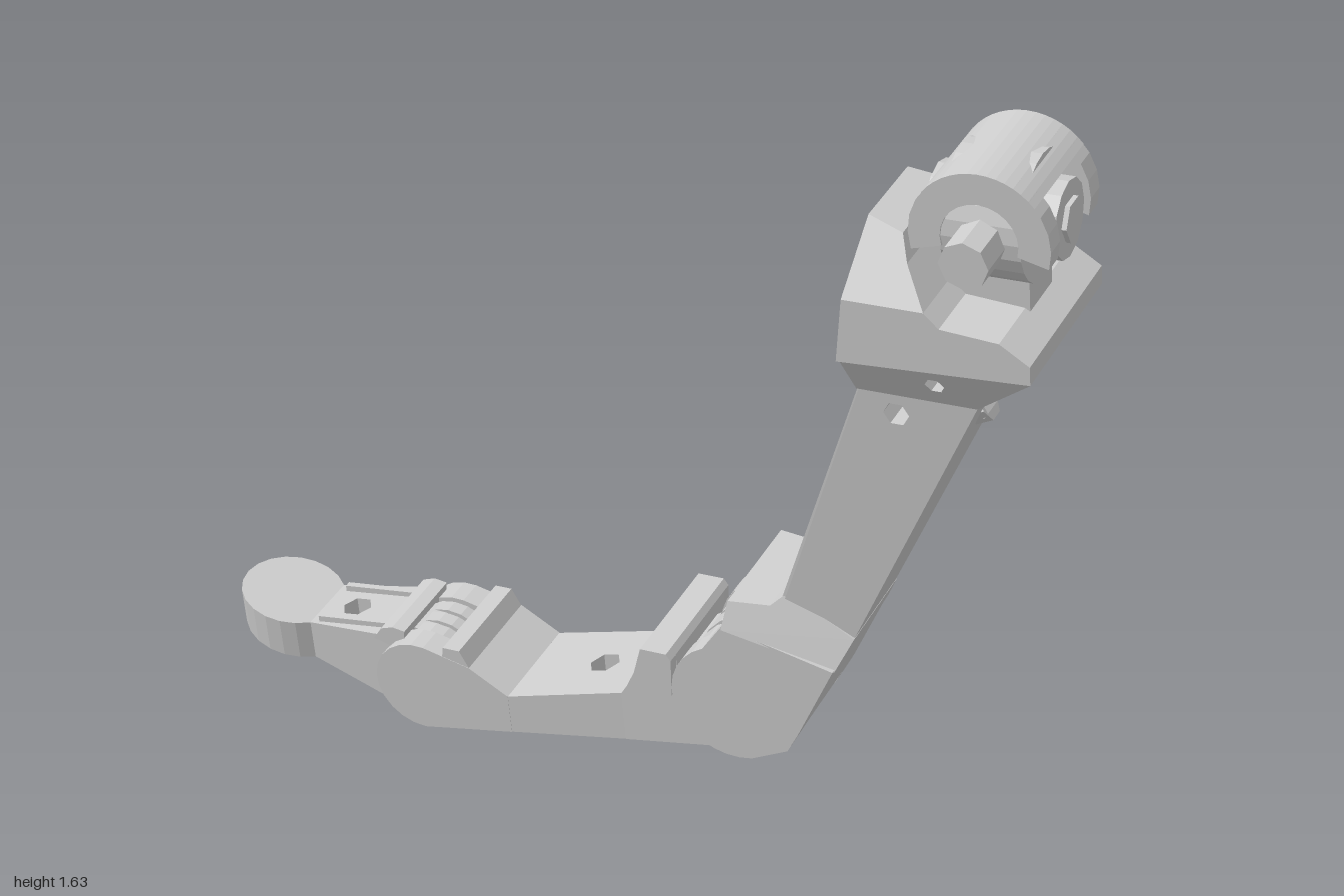
import * as THREE from 'three';

const material = new THREE.MeshStandardMaterial({ color: 0xcccccc, flatShading: true, side: THREE.DoubleSide });

// Points on an arc, angles in degrees
function arc(cx, cy, r, from, to, n = 10) {
  return Array.from({ length: n + 1 }, (_, i) => {
    const a = THREE.MathUtils.degToRad(from + (to - from) * i / n);
    return [cx + r * Math.cos(a), cy + r * Math.sin(a)];
  });
}
const vec = p => new THREE.Vector2(p[0], p[1]);
const hexHole = (x, y, r) => arc(x, y, r, 0, 300, 5);

// Extrude an outline with holes, then place each vertex by rule(a, b, s), s running -1..1
function extrude(points, holes, rule) {
  const shape = new THREE.Shape(points.map(vec));
  holes.forEach(h => shape.holes.push(new THREE.Path(h.map(vec))));
  const g = new THREE.ExtrudeGeometry(shape, { depth: 2, bevelEnabled: false });
  const p = g.attributes.position;
  for (let i = 0; i < p.count; i++) p.setXYZ(i, ...rule(p.getX(i), p.getY(i), p.getZ(i) - 1));
  g.computeVertexNormals();
  return g;
}

function add(parent, name, geometry) {
  const m = new THREE.Mesh(geometry, material);
  m.name = name;
  parent.add(m);
  return m;
}

// Side profile extruded across the finger; half may depend on position
function slab(parent, name, points, half, holes = []) {
  const hw = typeof half === 'function' ? half : () => half;
  return add(parent, name, extrude(points, holes, (x, y, s) => [x, y, s * hw(x, y)]));
}

// Matching slabs on both sides, between z = inner and z = outer
function pair(parent, name, points, inner, outer) {
  for (const side of [1, -1]) {
    slab(parent, name, points, (outer - inner) / 2).position.z = side * (inner + outer) / 2;
  }
}

// Plan outline with vertical holes, between a bottom and a top line
function plate(parent, name, points, holes, bottom, top) {
  return add(parent, name, extrude(points, holes,
    (x, b, s) => [x, s < 0 ? bottom(x) : top(x), -b]));
}

const line = (x0, y0, x1, y1) => x => y0 + (y1 - y0) * (x - x0) / (x1 - x0);

function cylinder(parent, name, r, length, x, y, z = 0, axis = 'z', sides = 20) {
  const g = new THREE.CylinderGeometry(r, r, length, sides);
  if (axis === 'z') g.rotateX(Math.PI / 2);
  else g.rotateZ(Math.PI / 2);
  add(parent, name, g).position.set(x, y, z);
}

// Hinge made of three discs on a thinner core
function hinge(parent, name, x, y, r, half) {
  const w = half * 0.56;
  for (const z of [-1, 0, 1]) cylinder(parent, name + 'Disc', r, w, x, y, z * (half - w / 2));
  cylinder(parent, name + 'Core', r * 0.85, half * 2.2, x, y);
}

function buildTip(parent) {
  const g = new THREE.Group();
  g.name = 'fingertipSegment';
  const bottom = line(-0.61, 0.06, -1, 0.165);
  plate(g, 'tipNeck', [[-0.57, -0.1], [-0.57, 0.1], [-0.63, 0.095], [-0.8, 0.077], [-0.8, -0.077], [-0.63, -0.095]],
    [hexHole(-0.72, 0, 0.035)], bottom, line(-0.57, 0.235, -0.8, 0.205));
  plate(g, 'tipPad', arc(-0.885, 0, 0.115, 42, 318, 16), [], bottom, line(-0.8, 0.205, -1, 0.25));
  slab(g, 'tipRidge', [[-0.62, 0.22], [-0.6, 0.25], [-0.57, 0.26], [-0.54, 0.255], [-0.55, 0.2]], 0.1);
  pair(g, 'tipClip', [[-0.78, 0.2], [-0.6, 0.22], [-0.6, 0.243], [-0.78, 0.222]], 0.055, 0.07);
  hinge(g, 'tipHinge', -0.5, 0.135, 0.103, 0.06);
  slab(g, 'tipHingeWeb', [[-0.6, 0.08], [-0.5, 0.06], [-0.5, 0.23], [-0.6, 0.235]], 0.05);
  parent.add(g);
}

function buildMiddle(parent) {
  const g = new THREE.Group();
  g.name = 'middleSegment';
  const bottom = line(-0.5, 0.027, 0.22, 0.15);
  // Fork around the tip hinge
  pair(g, 'middleForkCheek', [...arc(-0.5, 0.135, 0.11, 80, 270, 12),
    [-0.28, bottom(-0.28)], [-0.28, 0.16], [-0.37, 0.215]], 0.065, 0.127);
  slab(g, 'middleKnuckleBlock', [[-0.4, bottom(-0.4)], [-0.28, bottom(-0.28)], [-0.28, 0.16],
    [-0.37, 0.215], [-0.39, 0.255], [-0.43, 0.255], [-0.44, 0.2]], 0.126);
  // Body with a cord hole
  plate(g, 'middleBody', [[-0.28, -0.126], [0, -0.121], [0, 0.121], [-0.28, 0.126]],
    [hexHole(-0.1, 0, 0.036)], bottom, line(-0.28, 0.16, 0, 0.235));
  // End that meets the lower knuckle
  slab(g, 'middleEnd', [[0, bottom(0)], [0.22, 0.15], [0.17, 0.2], [0.14, 0.28],
    [0.14, 0.37], [0.07, 0.385], [0.05, 0.31], [0, 0.235]], 0.122);
  slab(g, 'middleStop', [[0.03, 0.28], [0.135, 0.28], [0.14, 0.37], [0.13, 0.385], [0.07, 0.385], [0.05, 0.32]], 0.148);
  hinge(g, 'middleHinge', 0.28, 0.3, 0.132, 0.095);
  slab(g, 'middleHingeWeb', [[0.1, 0.17], [0.28, 0.18], [0.28, 0.42], [0.13, 0.33]], 0.085);
  parent.add(g);
}

function buildProximal(parent) {
  const g = new THREE.Group();
  g.name = 'upperSegment';
  // Fork around the middle hinge
  pair(g, 'upperForkCheek', [...arc(0.28, 0.3, 0.14, 115, 285, 14),
    [0.4, 0.205], [0.425, 0.25], [0.515, 0.435], [0.27, 0.495]], 0.1, 0.155);
  slab(g, 'upperForkWeb', [[0.27, 0.455], [0.39, 0.42], [0.425, 0.3], [0.425, 0.25], [0.515, 0.435], [0.27, 0.495]], 0.14);
  const along = (x, y) => 0.38 * x + 0.92 * y;
  slab(g, 'upperShoulder', [[0.27, 0.49], [0.515, 0.43], [0.55, 0.5], [0.405, 0.58], [0.37, 0.55], [0.28, 0.55]],
    (x, y) => 0.155 - 0.4 * (along(x, y) - 0.57));
  // Shaft and flared collar with cross holes
  slab(g, 'shaft', [[0.39, 0.54], [0.53, 0.46], [0.85, 1.13], [0.605, 1.13]],
    (x, y) => 0.11 + 0.035 * (y - 0.5) / 0.63, [hexHole(0.68, 1.085, 0.027)]);
  pair(g, 'shaftRail', [[0.39, 0.56], [0.41, 0.56], [0.625, 1.13], [0.595, 1.13]], 0.075, 0.112);
  slab(g, 'collar', [[0.6, 1.13], [0.85, 1.13], [0.98, 1.24], [0.585, 1.22]],
    (x, y) => 0.145 + 0.5 * (y - 1.13), [hexHole(0.775, 1.185, 0.02)]);
  // Rib under the collar, with a cord guide at its foot
  slab(g, 'collarRib', [[0.79, 1.04], [0.815, 1.03], [0.93, 1.22], [0.86, 1.2]], 0.025);
  const guide = add(g, 'cordGuide', new THREE.CylinderGeometry(0.035, 0.035, 0.04, 6));
  guide.position.set(0.8, 1.045, 0);
  guide.rotation.z = -1.13;
  // Head base and rounded back plate
  slab(g, 'headBase', [[0.585, 1.22], [0.98, 1.24], [0.98, 1.28], [0.92, 1.32], [0.8, 1.33], [0.77, 1.36], [0.603, 1.36]], 0.2);
  slab(g, 'headBackPlate', [[0.603, 1.36], [0.77, 1.36], [0.72, 1.43], [0.7, 1.475], [0.625, 1.495]],
    (x, y) => 0.2 - 0.75 * (y - 1.36));
  parent.add(g);
}

function buildJoint(parent) {
  const g = new THREE.Group();
  g.name = 'crossJoint';
  const x = 0.86, y = 1.492;
  const shell = (a, b) => [...arc(x, y, 0.142, a, b, 14), ...arc(x, y, 0.078, b, a, 14)];
  // Split barrel: arched ends joined by a crown
  pair(g, 'barrelEnd', shell(-15, 195), 0.085, 0.133);
  slab(g, 'barrelCrown', shell(38, 142), 0.133);
  // Lug and bosses along x, pin along z
  cylinder(g, 'jointLug', 0.13, 0.16, x, y, 0, 'x', 24);
  cylinder(g, 'jointBoss', 0.08, 0.26, x, y, 0, 'x', 12);
  cylinder(g, 'bossCap', 0.045, 0.28, x, y, 0, 'x', 6);
  cylinder(g, 'crossPin', 0.05, 0.43, x, y - 0.008, 0, 'z', 8);
  slab(g, 'lugFoot', [[0.79, 1.31], [0.93, 1.31], [0.93, 1.42], [0.79, 1.42]], 0.06);
  parent.add(g);
}

export function createModel() {
  const model = new THREE.Group();
  model.name = 'jointedFinger';
  // The whole finger leans toward the front
  const finger = new THREE.Group();
  finger.name = 'finger';
  finger.rotation.x = 0.19;
  finger.position.z = -0.19;
  buildTip(finger);
  buildMiddle(finger);
  buildProximal(finger);
  buildJoint(finger);
  model.add(finger);
  return model;
}
